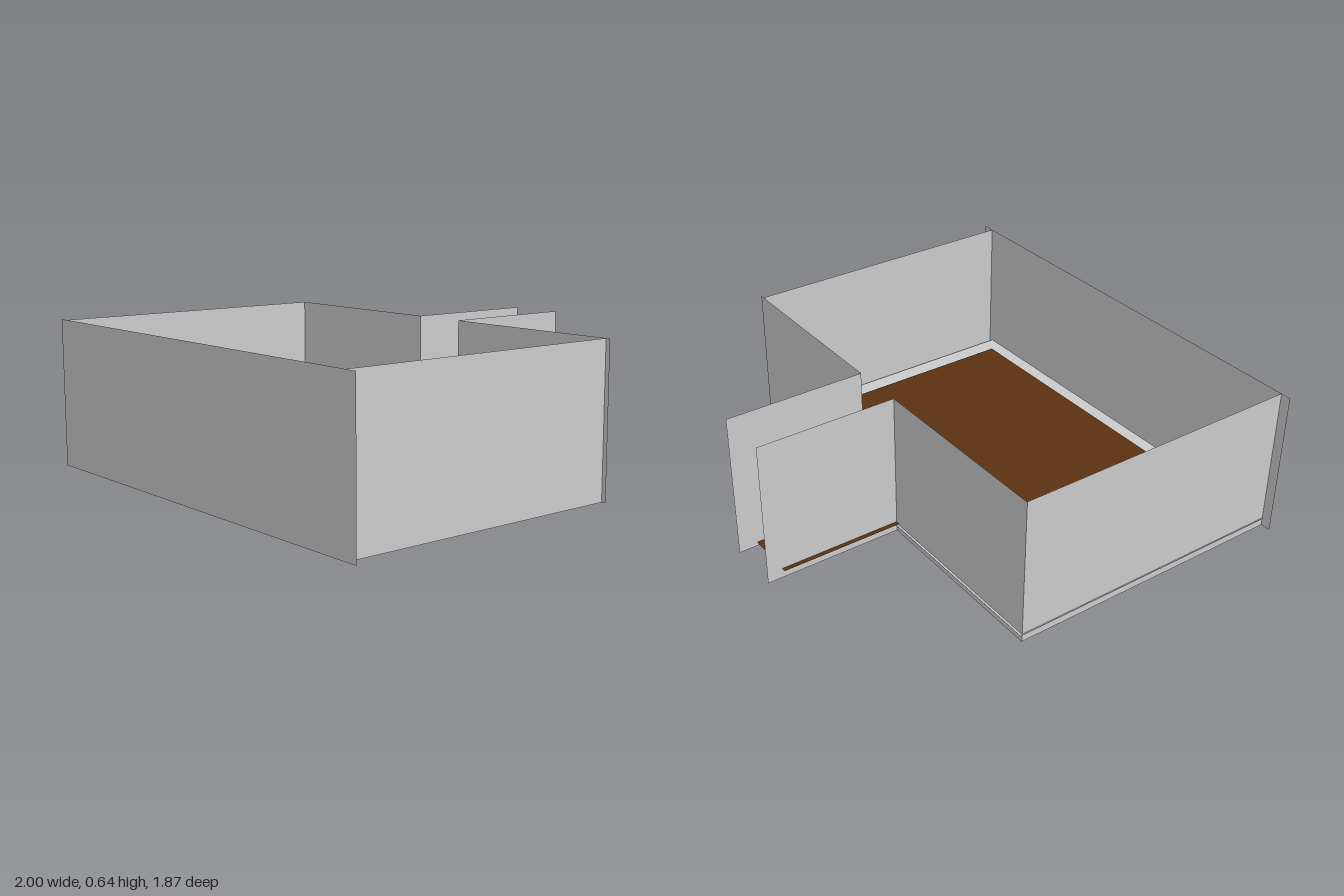
import * as THREE from 'three';

const HEIGHT = 0.64;
const FRONT = 0.937, BACK = -0.33, HALL_END = -0.937;

const grey = new THREE.MeshStandardMaterial({ color: 0xcccccc, side: THREE.DoubleSide });
const brown = new THREE.MeshStandardMaterial({ color: 0x5a3210, side: THREE.DoubleSide });

// Upright thin wall between two ground points
function wall(name, x0, z0, x1, z1) {
  const mesh = new THREE.Mesh(new THREE.PlaneGeometry(Math.hypot(x1 - x0, z1 - z0), HEIGHT), grey);
  mesh.name = name;
  mesh.position.set((x0 + x1) / 2, HEIGHT / 2, (z0 + z1) / 2);
  mesh.rotation.y = Math.atan2(z0 - z1, x1 - x0);
  return mesh;
}

// Flat sheet facing up, outlined by [x, z] points
function sheet(name, points, y, material) {
  const shape = new THREE.Shape(points.map(([x, z]) => new THREE.Vector2(x, -z)));
  const mesh = new THREE.Mesh(new THREE.ShapeGeometry(shape).rotateX(-Math.PI / 2), material);
  mesh.name = name;
  mesh.position.y = y;
  return mesh;
}

export function createModel() {
  const model = new THREE.Group();
  model.name = 'roomWithHallway';

  // Walls of the room; the back wall leaves a gap for the hallway
  model.add(
    wall('frontWall', -1, FRONT, 1, FRONT),
    wall('leftWall', 0.945, FRONT, 0.945, BACK),
    wall('rightWall', -0.955, FRONT, -0.955, BACK),
    wall('backWallLeft', 0.13, BACK, 0.965, BACK),
    wall('backWallRight', -0.957, BACK, -0.11, BACK)
  );

  // Hallway walls
  model.add(
    wall('hallwayWallLeft', 0.13, BACK, 0.13, HALL_END),
    wall('hallwayWallRight', -0.11, BACK, -0.11, HALL_END)
  );

  // Floor, raised a little above the wall bottoms
  model.add(sheet('floor', [[-0.96, FRONT], [0.925, FRONT], [0.925, -0.34], [-0.96, -0.34]], 0.036, grey));

  // Carpet running out into the hallway
  model.add(sheet('carpet', [
    [-0.87, 0.87], [0.84, 0.87], [0.84, -0.27], [0.1, -0.27],
    [0.1, -0.87], [-0.13, -0.87], [-0.13, -0.27], [-0.87, -0.27]
  ], 0.044, brown));

  return model;
}
